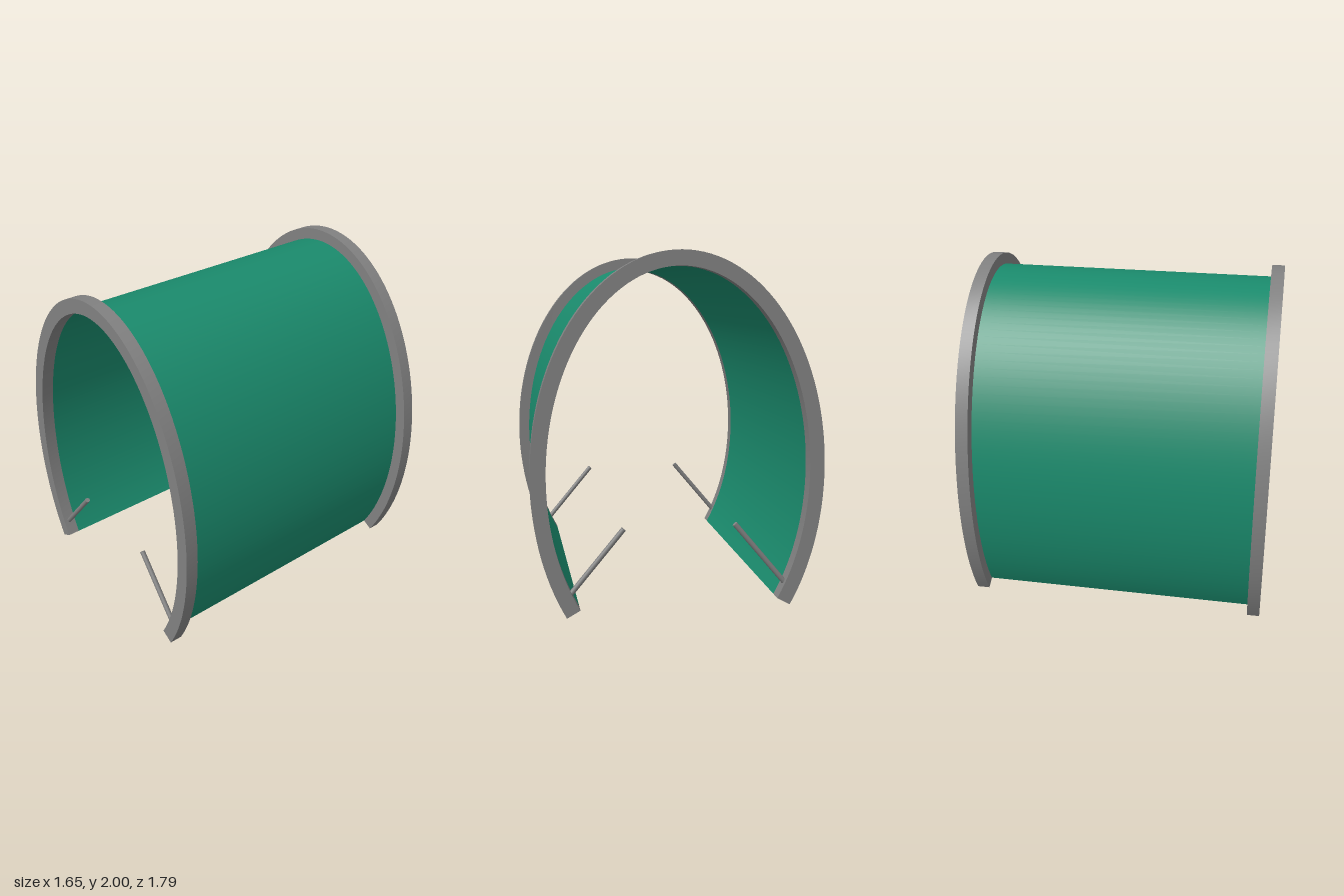
import * as THREE from 'three';
import { toCreasedNormals } from 'three/addons/utils/BufferGeometryUtils.js';

const CENTRE_Y = 0.78, RX = 0.7825, RY = 1.1775; // middle line of the oval arch
const START = THREE.MathUtils.degToRad(-40), END = Math.PI - START;
const SEGMENTS = 96;

// Point on the oval, moved outwards along its normal by offset
function ovalPoint(t, offset) {
  const c = Math.cos(t), s = Math.sin(t);
  const n = new THREE.Vector2(c / RX, s / RY).normalize();
  return new THREE.Vector2(RX * c + n.x * offset, CENTRE_Y + RY * s + n.y * offset);
}

// Open arch between two offsets, extruded from z0 to z1
function archGeometry(inner, outer, z0, z1) {
  const points = [];
  for (let i = 0; i <= SEGMENTS; i++) points.push(ovalPoint(START + (END - START) * i / SEGMENTS, outer));
  for (let i = SEGMENTS; i >= 0; i--) points.push(ovalPoint(START + (END - START) * i / SEGMENTS, inner));
  const geometry = new THREE.ExtrudeGeometry(new THREE.Shape(points), { depth: z1 - z0, bevelEnabled: false });
  geometry.translate(0, 0, z0);
  return toCreasedNormals(geometry, 0.5);
}

export function createModel() {
  const group = new THREE.Group();
  const grey = new THREE.MeshStandardMaterial({ color: 0x808080 });
  const green = new THREE.MeshStandardMaterial({ color: 0x1a8a6c });

  const add = (name, geometry, material) => {
    const mesh = new THREE.Mesh(geometry, material);
    mesh.name = name;
    group.add(mesh);
    return mesh;
  };

  // Thin curved cover, flush with the inside of the rims
  add('cover', archGeometry(-0.0425, -0.026, -0.82, 0.82), green);

  // Thicker rim at each open end
  add('frontRim', archGeometry(-0.0425, 0.0425, 0.82, 0.895), grey);
  add('backRim', archGeometry(-0.0425, 0.0425, -0.895, -0.82), grey);

  // Slanted rods pointing inwards from the feet of the rims
  const up = new THREE.Vector3(0, 1, 0);
  for (const [end, z] of [['front', 0.857], ['back', -0.857]]) {
    for (const [side, sign] of [['Left', 1], ['Right', -1]]) {
      const foot = new THREE.Vector3(sign * 0.615, 0.124, z);
      const tip = new THREE.Vector3(sign * 0.316, 0.482, z);
      const axis = tip.clone().sub(foot);
      const rod = add(`${end}${side}Rod`, new THREE.CylinderGeometry(0.015, 0.015, axis.length(), 16), grey);
      rod.position.copy(foot).add(tip).multiplyScalar(0.5);
      rod.quaternion.setFromUnitVectors(up, axis.normalize());
    }
  }
  return group;
}
